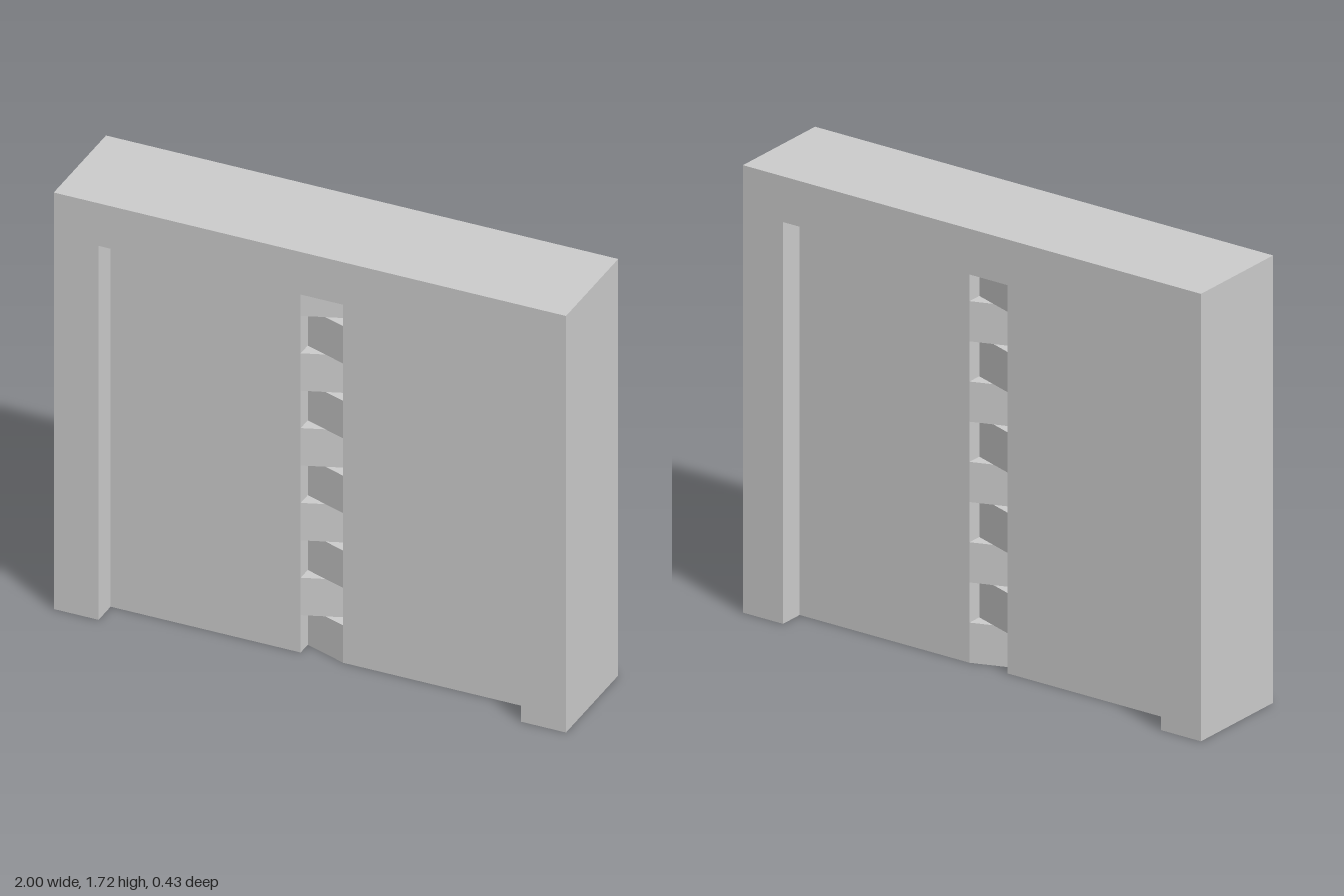
import * as THREE from 'three';

const W = 1, H = 1.715, D = 0.217;        // frame half width, height, half depth
const OPEN_X = 0.825, OPEN_Y = 1.54;      // opening half width and height
const PANEL_Z = 0.117, TIP_Z = 0.058;     // half thickness of the panels and of the tooth tips
const REACH = 0.083;                      // teeth span from -REACH to +REACH
const ROWS = 10;

const material = new THREE.MeshStandardMaterial({ color: 0xcccccc, flatShading: true });

const polygon = (points) => new THREE.Shape(points.map(([x, y]) => new THREE.Vector2(x, y)));

function addMesh(parent, name, geometry) {
  const mesh = new THREE.Mesh(geometry, material);
  mesh.name = name;
  parent.add(mesh);
  return mesh;
}

// One door leaf: a flat slab with wedge teeth in every second row.
function doorLeaf(name, side, firstRow) {
  const leaf = new THREE.Group();
  leaf.name = name;

  const slab = addMesh(leaf, 'panel', new THREE.BoxGeometry(OPEN_X - REACH, OPEN_Y, PANEL_Z * 2));
  slab.position.set(side * (OPEN_X + REACH) / 2, OPEN_Y / 2, 0);

  // Tooth plan: full thickness at the slab, thinner at the tip
  const base = side * REACH, tip = -side * REACH;
  const plan = polygon([[base, -PANEL_Z], [tip, -TIP_Z], [tip, TIP_Z], [base, PANEL_Z]]);
  const rowHeight = OPEN_Y / ROWS;
  const toothGeometry = new THREE.ExtrudeGeometry(plan, { depth: rowHeight, bevelEnabled: false });
  toothGeometry.rotateX(-Math.PI / 2);
  for (let row = firstRow; row < ROWS; row += 2) {
    addMesh(leaf, 'tooth', toothGeometry).position.y = row * rowHeight;
  }
  return leaf;
}

export function createModel() {
  const model = new THREE.Group();
  model.name = 'interlockingDoor';

  // Frame: two jambs and a lintel as one extruded arch
  const arch = polygon([
    [-W, 0], [-OPEN_X, 0], [-OPEN_X, OPEN_Y], [OPEN_X, OPEN_Y],
    [OPEN_X, 0], [W, 0], [W, H], [-W, H],
  ]);
  const frame = new THREE.ExtrudeGeometry(arch, { depth: D * 2, bevelEnabled: false });
  frame.translate(0, 0, -D);
  addMesh(model, 'frame', frame);

  // The leaves' teeth alternate row by row
  model.add(doorLeaf('leftDoor', 1, 0));
  model.add(doorLeaf('rightDoor', -1, 1));
  return model;
}
